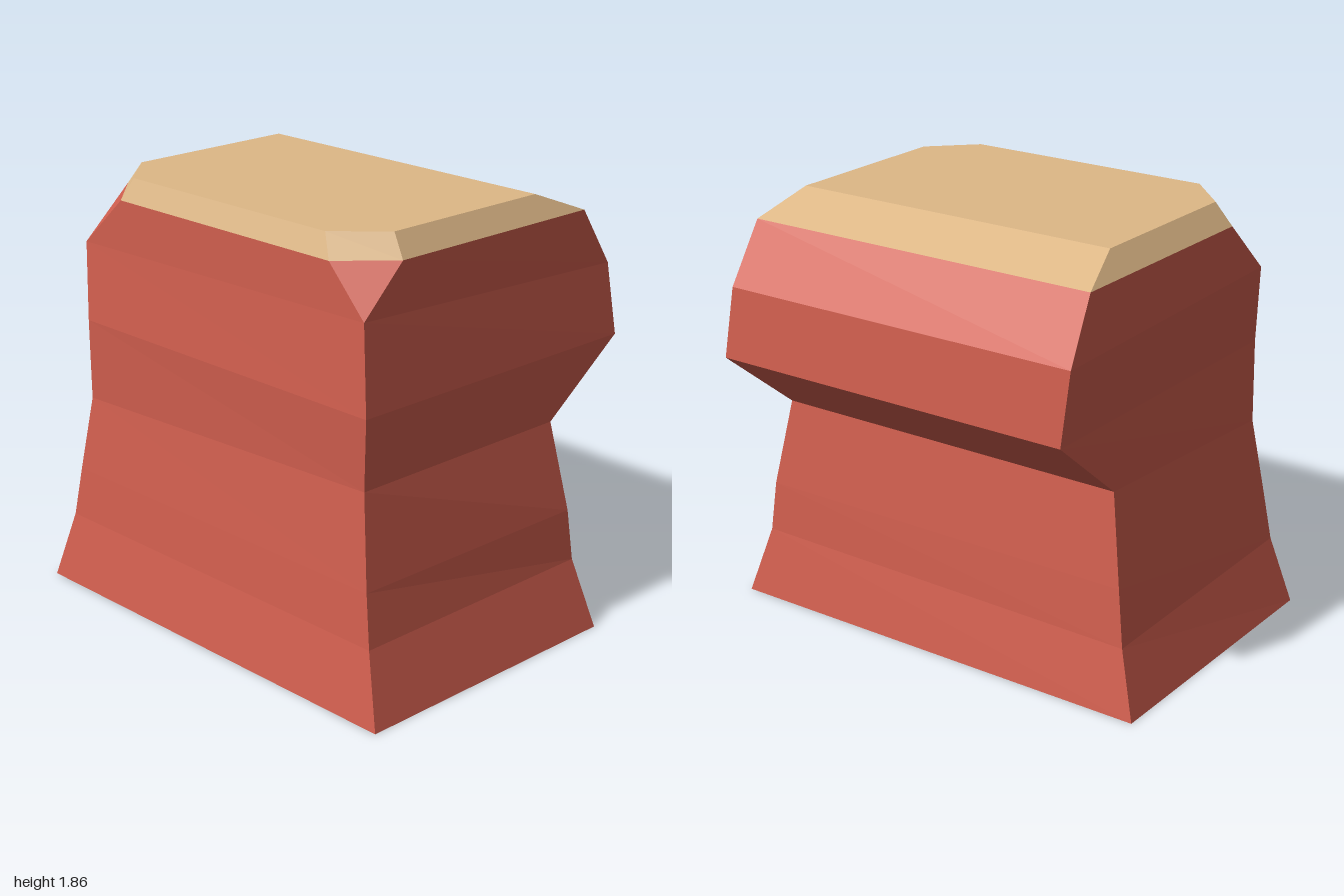
import * as THREE from 'three';

// A ring lists six [x, y, z] points: back -x, back +x, side +x, front +x, front -x, side -x.
// Unchamfered rings repeat the two front corners.
function squareRing(bl, br, fr, fl) {
  return [bl, br, fr, fr, fl, fl];
}

// Flat-faced skin between rings, with optional end caps.
function loft(rings, capBottom, capTop) {
  const pos = [];
  const tri = (a, b, c) => {
    if (a !== b && b !== c && a !== c) pos.push(...a, ...b, ...c);
  };
  for (let r = 0; r < rings.length - 1; r++) {
    const low = rings[r], high = rings[r + 1];
    for (let i = 0; i < 6; i++) {
      const j = (i + 1) % 6;
      tri(low[i], high[i], high[j]);
      tri(low[i], high[j], low[j]);
    }
  }
  const first = rings[0], last = rings[rings.length - 1];
  for (let i = 1; i < 5; i++) {
    if (capBottom) tri(first[0], first[i], first[i + 1]);
    if (capTop) tri(last[0], last[i + 1], last[i]);
  }
  const geo = new THREE.BufferGeometry();
  geo.setAttribute('position', new THREE.Float32BufferAttribute(pos, 3));
  geo.computeVertexNormals();
  return geo;
}

export function createModel() {
  const red = new THREE.MeshStandardMaterial({ color: 0xd05e4e });
  red.name = 'brick red';
  const tan = new THREE.MeshStandardMaterial({ color: 0xdeb887 });
  tan.name = 'pale tan';

  // Chamfered outline where the body meets the cap
  const rim = [
    [-0.815, 1.76, -0.59], [0.805, 1.76, -0.59], [0.805, 1.76, 0.45],
    [0.62, 1.76, 0.65], [-0.6, 1.76, 0.65], [-0.815, 1.76, 0.44],
  ];
  const top = [
    [-0.745, 1.855, -0.355], [0.745, 1.855, -0.355], [0.745, 1.855, 0.435],
    [0.565, 1.855, 0.615], [-0.555, 1.855, 0.615], [-0.745, 1.855, 0.42],
  ];

  // Flared foot, narrow waist and a shoulder overhanging the back
  const bodyRings = [
    squareRing([-1, 0, -0.53], [1, 0, -0.53], [1, 0, 0.775], [-1, 0, 0.775]),
    squareRing([-0.915, 0.28, -0.475], [0.91, 0.3, -0.475], [0.91, 0.3, 0.72], [-0.915, 0.3, 0.72]),
    squareRing([-0.88, 0.52, -0.453], [0.89, 0.52, -0.458], [0.875, 0.52, 0.7], [-0.88, 0.52, 0.7]),
    squareRing([-0.82, 0.905, -0.41], [0.82, 0.905, -0.41], [0.82, 0.905, 0.66], [-0.828, 0.85, 0.665]),
    squareRing([-0.815, 1.205, -0.775], [0.845, 1.205, -0.775], [0.845, 1.205, 0.677], [-0.815, 1.205, 0.677]),
    squareRing([-0.84, 1.51, -0.75], [0.81, 1.51, -0.75], [0.807, 1.565, 0.652], [-0.84, 1.54, 0.652]),
    rim,
  ];

  const body = new THREE.Mesh(loft(bodyRings, true, false), red);
  body.name = 'body';
  const cap = new THREE.Mesh(loft([rim, top], false, true), tan);
  cap.name = 'bevelledTop';

  const group = new THREE.Group();
  group.name = 'carvedBlock';
  group.add(body, cap);
  return group;
}
